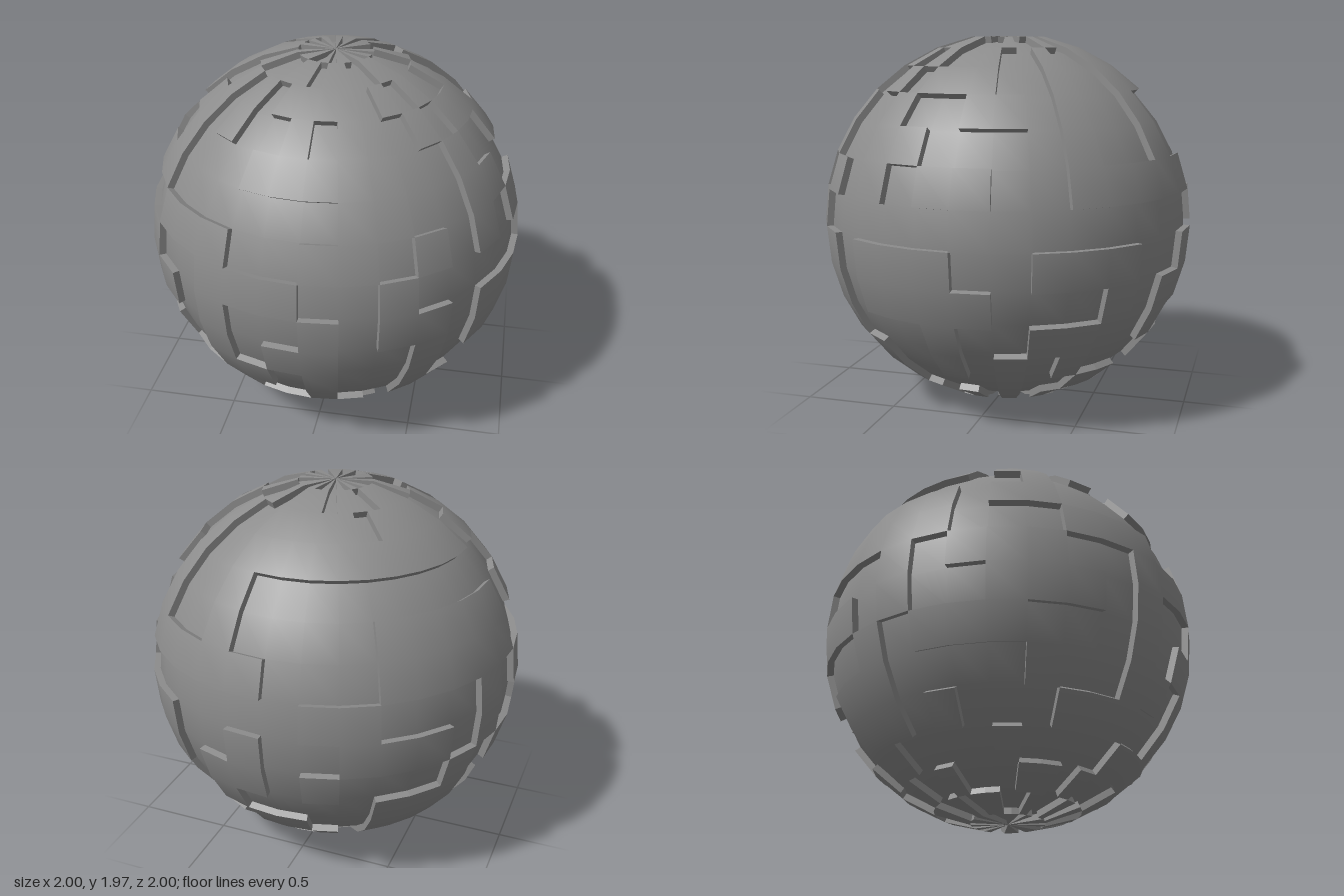
import * as THREE from 'three';

const ROWS = 16, COLS = 32, BASE = 0.965, TOP = 1, MID = 0.985;

// Raised cells, pole to pole; columns run from the back (-z) past -x, +z and +x
const MAP = [
  '#.#.#.#. .#.##..# .##.#.#. #..##.#.',
  '#.##.### .#...##. ##..##.. .#..#.##',
  '###.#### ..#.#.## ##.#.#.. #..#..##',
  '######## .##.#..# .#..#.## #..#..##',
  '........ ..#...## ###..#.. ##.#..#.',
  '...##### .##..... .##..##. ...#..#.',
  '...##### ...###.. ##.#.#.# #..#####',
  '.##...#. ###..### ..#..... ##......',
  '..###.#. .###.#.. #.##.### ..###..#',
  '.#...#.# ##...#.# #..#.### #...#.##',
  '...###.. ..#..##. #..#...# ..##..#.',
  '#..###.# ...###.. #..##..# .#.#...#',
  '.#.##... .#....## ##..#... .#..##..',
  '#..#..#. ..##.#.. .##..#.# .#.#..##',
  '.##..#.# #..#..#. #..#.##. .#..#.#.',
  '#.##.#.. .##.#..# #.#..##. ##..#.#.',
].map((row) => row.replaceAll(' ', ''));

const raised = (r, c) => MAP[r][(c + COLS) % COLS] === '#';

// Grid corner on a sphere of the given radius, flattened slightly at the poles
function corner(r, c, radius) {
  const polar = (r * Math.PI) / ROWS;
  const around = ((c - COLS / 2) * 2 * Math.PI) / COLS;
  const ring = Math.sin(polar) * radius;
  const y = THREE.MathUtils.clamp(Math.cos(polar) * radius, -MID, MID);
  return new THREE.Vector3(ring * Math.sin(around), y, ring * Math.cos(around));
}

function addQuad(list, a, b, c, d) {
  for (const p of [a, b, c, a, c, d]) list.push(p.x, p.y, p.z);
}

function toGeometry(list) {
  const geometry = new THREE.BufferGeometry();
  geometry.setAttribute('position', new THREE.Float32BufferAttribute(list, 3));
  geometry.computeVertexNormals();
  return geometry;
}

export function createModel() {
  const group = new THREE.Group();
  const material = new THREE.MeshStandardMaterial({ color: 0x8c8c8c });
  const plates = [], sides = [];

  for (let r = 0; r < ROWS; r++) {
    for (let c = 0; c < COLS; c++) {
      if (!raised(r, c)) continue;
      // Counter-clockwise corners, and the neighbour across each edge
      const cell = [[r, c], [r + 1, c], [r + 1, c + 1], [r, c + 1]];
      const neighbours = [[r, c - 1], [r + 1, c], [r, c + 1], [r - 1, c]];
      const outer = cell.map(([i, j]) => corner(i, j, TOP));
      const inner = cell.map(([i, j]) => corner(i, j, BASE));
      addQuad(plates, ...outer);
      neighbours.forEach(([i, j], k) => {
        const n = (k + 1) % 4;
        if (i >= 0 && i < ROWS && !raised(i, j)) {
          addQuad(sides, inner[k], inner[n], outer[n], outer[k]);
        }
      });
    }
  }

  // Plate tops are shaded as one smooth sphere
  const plateGeometry = toGeometry(plates);
  const position = plateGeometry.attributes.position;
  const normal = new THREE.Vector3();
  for (let i = 0; i < position.count; i++) {
    normal.fromBufferAttribute(position, i).normalize();
    plateGeometry.attributes.normal.setXYZ(i, normal.x, normal.y, normal.z);
  }

  const parts = {
    core: new THREE.SphereGeometry(BASE, COLS, ROWS),
    raisedPlates: plateGeometry,
    plateSides: toGeometry(sides),
  };
  for (const [name, geometry] of Object.entries(parts)) {
    const mesh = new THREE.Mesh(geometry, material);
    mesh.name = name;
    mesh.position.y = MID;
    group.add(mesh);
  }
  group.name = 'panelledSphere';
  return group;
}
